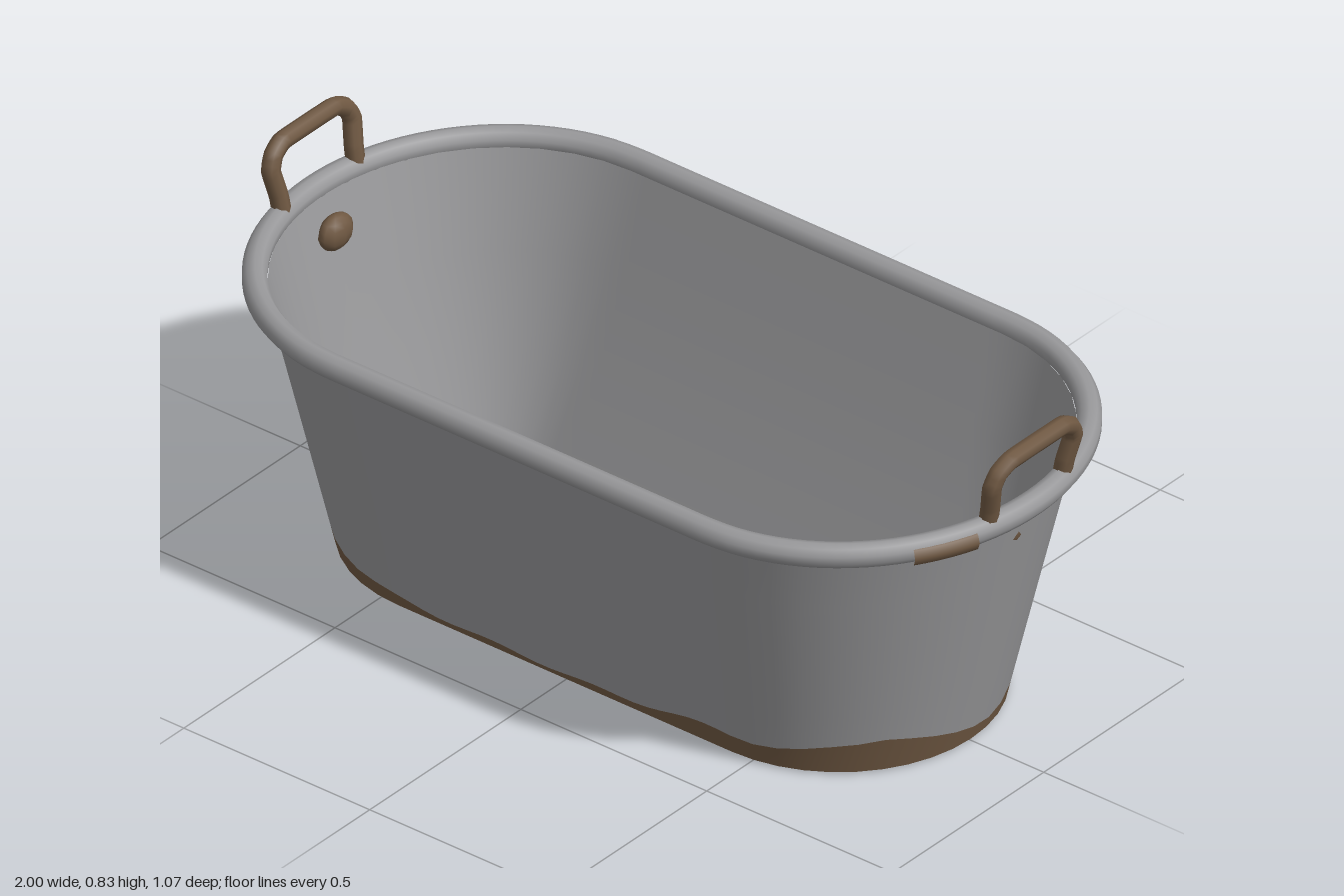
import * as THREE from 'three';

const N_STRAIGHT = 24, N_END = 20;

// Rounded oblong outline: two straight sides joined by half-ellipse ends
function outline(halfLen, halfWid, straight) {
  const pts = [];
  for (const s of [1, -1]) {
    for (let i = 0; i < N_END; i++) {
      const a = -Math.PI / 2 + Math.PI * i / N_END;
      pts.push([s * (straight + (halfLen - straight) * Math.cos(a)), s * halfWid * Math.sin(a)]);
    }
    for (let i = 0; i < N_STRAIGHT; i++) {
      pts.push([s * straight * (1 - 2 * i / N_STRAIGHT), s * halfWid]);
    }
  }
  return pts;
}

const ring = (halfLen, halfWid, straight, y) =>
  outline(halfLen, halfWid, straight).map(([x, z]) => new THREE.Vector3(x, y, z));

// Skin a list of closed rings
function loft(rings) {
  const n = rings[0].length, pos = [], idx = [];
  rings.forEach(r => r.forEach(p => pos.push(p.x, p.y, p.z)));
  for (let r = 0; r < rings.length - 1; r++) {
    for (let i = 0; i < n; i++) {
      const a = r * n + i, b = r * n + (i + 1) % n;
      idx.push(a, a + n, b, b, a + n, b + n);
    }
  }
  const g = new THREE.BufferGeometry();
  g.setAttribute('position', new THREE.Float32BufferAttribute(pos, 3));
  g.setIndex(idx);
  g.computeVertexNormals();
  return g;
}

// Irregular height of the rust creeping up from the base: x, z, height, spread
const rustSpots = [
  [0.72, 0.24, 0.06, 0.2], [0.4, 0.35, 0.03, 0.18], [-0.62, 0.3, 0.03, 0.2],
  [0.74, -0.28, 0.045, 0.13], [-0.68, -0.26, 0.05, 0.2],
];
function rustHeight(x, z) {
  let h = 0.014 + 0.004 * Math.sin(x * 23 + z * 17);
  for (const [sx, sz, k, w] of rustSpots) h += k * Math.exp(-((x - sx) ** 2 + (z - sz) ** 2) / (w * w));
  if (Math.abs(x) > 0.72) h += 0.008;
  return h;
}

export function createModel() {
  const metal = new THREE.MeshStandardMaterial({ color: 0x98989a });
  metal.name = 'galvanised grey';
  const rust = new THREE.MeshStandardMaterial({ color: 0x6f5842 });
  rust.name = 'rust brown';

  const tub = new THREE.Group();
  tub.name = 'washTub';
  const add = (name, geo, mat, parent = tub) => {
    const m = new THREE.Mesh(geo, mat);
    m.name = name;
    parent.add(m);
    return m;
  };

  // Outer wall, divided along the rust line
  const low = ring(0.805, 0.355, 0.45, 0.005);
  const high = ring(0.95, 0.49, 0.5, 0.645);
  const mix = t => low.map((p, i) => p.clone().lerp(high[i], t));
  const rustLine = low.map((p, i) => p.clone().lerp(high[i], rustHeight(p.x, p.z) / 0.64));
  const upper = [0.25, 0.5, 0.75, 1].map(mix);
  add('outerWall', loft([rustLine, ...upper]), metal);
  add('rustyBase', loft([low, rustLine]), rust);

  // Foot edge and recessed underside
  const footInner = ring(0.785, 0.335, 0.45, 0);
  const recess = ring(0.775, 0.325, 0.45, 0.018);
  add('footEdge', loft([recess, footInner, low]), rust);
  add('underside', loft([ring(0, 0, 0, 0.018), recess]), metal);

  // Inner wall and floor
  add('innerWall', loft([
    ring(0.94, 0.48, 0.5, 0.645), ring(0.875, 0.42, 0.51, 0.43),
    ring(0.81, 0.355, 0.53, 0.22), ring(0.745, 0.285, 0.55, 0.03),
  ]), metal);
  add('floor', loft([ring(0.745, 0.285, 0.55, 0.03), ring(0, 0, 0, 0.03)]), metal);

  // Rolled rim
  const rimPath = new THREE.CatmullRomCurve3(ring(0.966, 0.508, 0.5, 0.652), true);
  add('rim', new THREE.TubeGeometry(rimPath, 160, 0.028, 10, true), metal);

  // Rust patch on the outside of the rim
  const patch = [];
  for (let i = 0; i <= 6; i++) {
    const z = 0.17 + 0.13 * i / 6;
    patch.push(new THREE.Vector3(0.505 + 0.471 * Math.sqrt(1 - (z / 0.514) ** 2), 0.645, z));
  }
  add('rimRust', new THREE.TubeGeometry(new THREE.CatmullRomCurve3(patch), 12, 0.025, 8), rust);

  // Handles and their inside bolts at both ends
  for (const s of [1, -1]) {
    const end = new THREE.Group();
    end.name = s > 0 ? 'leftHandle' : 'rightHandle';
    const half = [[0.948, 0.65, 0.122], [0.957, 0.7, 0.124], [0.97, 0.76, 0.134], [0.975, 0.79, 0.12], [0.979, 0.808, 0.085]];
    const pts = [...half, ...half.slice().reverse().map(([x, y, z]) => [x, y, -z])]
      .map(([x, y, z]) => new THREE.Vector3(s * x, y, z));
    const path = new THREE.CatmullRomCurve3(pts, false, 'catmullrom', 0.15);
    add('handleBar', new THREE.TubeGeometry(path, 48, 0.021, 8), rust, end);
    const bolt = add('handleBolt', new THREE.SphereGeometry(1, 10, 8), rust, end);
    bolt.scale.set(0.028, 0.042, 0.05);
    bolt.position.set(s * 0.905, 0.57, 0);
    tub.add(end);
  }
  return tub;
}
